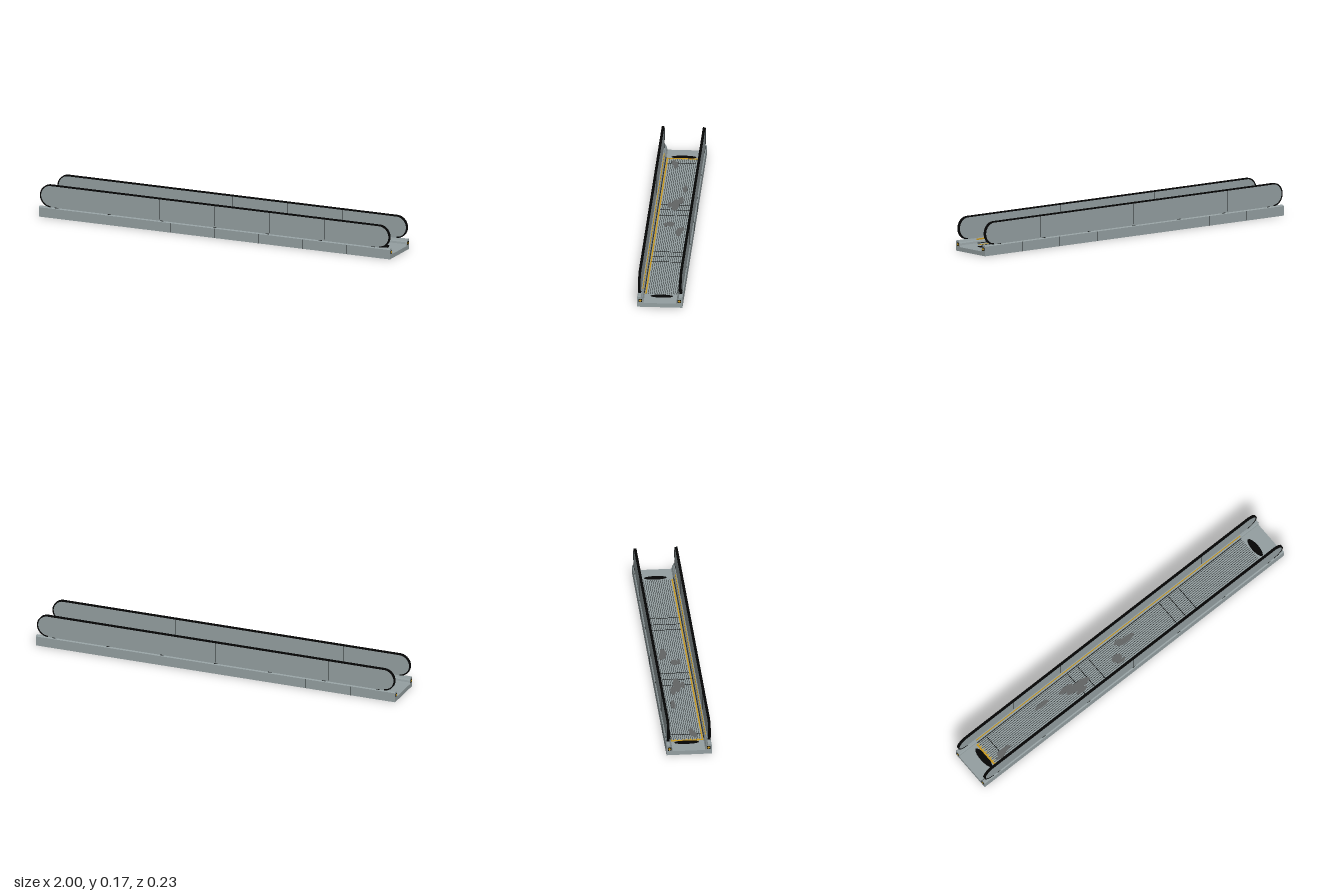
import * as THREE from 'three';

const mat = (name, color) => {
  const m = new THREE.MeshStandardMaterial({ color });
  m.name = name;
  return m;
};

export function createModel() {
  const root = new THREE.Group();
  const steel = mat('steel grey', 0x949fa1);
  const black = mat('rubber black', 0x040404);
  const yellow = mat('safety yellow', 0xc9981c);
  const dark = mat('groove grey', 0x222626);
  const stain = mat('stain grey', 0x626464);

  const add = (name, geo, material, x = 0, y = 0, z = 0) => {
    const m = new THREE.Mesh(geo, material);
    m.name = name;
    m.position.set(x, y, z);
    root.add(m);
    return m;
  };
  const box = (name, material, w, h, d, x, y, z) =>
    add(name, new THREE.BoxGeometry(w, h, d), material, x, y, z);

  // Long bed with raised kerbs: one cross-section swept along x
  const half = [[0.117, 0.012], [0.117, 0.05], [0.112, 0.055], [0.098, 0.055],
    [0.094, 0.046], [0.09, 0.04], [0.088, 0.03], [0.084, 0.022]];
  const section = new THREE.Shape([
    ...half.map(([z, y]) => new THREE.Vector2(z, y)),
    ...half.slice().reverse().map(([z, y]) => new THREE.Vector2(-z, y)),
  ]);
  const bedGeo = new THREE.ExtrudeGeometry(section, { depth: 1.996, bevelEnabled: false });
  bedGeo.translate(0, 0, -0.998).rotateY(Math.PI / 2);
  add('bed', bedGeo, steel);

  // Frame around the shallow recess in the underside
  const rect = (C, x, z) => new C([[-x, -z], [x, -z], [x, z], [-x, z]]
    .map(([a, b]) => new THREE.Vector2(a, b)));
  const frame = rect(THREE.Shape, 0.998, 0.117);
  frame.holes.push(rect(THREE.Path, 0.92, 0.09));
  const frameGeo = new THREE.ExtrudeGeometry(frame, { depth: 0.012, bevelEnabled: false });
  frameGeo.rotateX(-Math.PI / 2);
  add('undersideFrame', frameGeo, steel);

  // Ribbed tread surface and its cross joints
  for (let i = 0; i < 17; i++) {
    box('treadGroove', dark, 1.765, 0.0012, 0.002, -0.0025, 0.0223, -0.08 + i * 0.0098);
  }
  for (const x of [-0.82, -0.28, -0.215, -0.145, 0.33, 0.39, 0.46]) {
    box('treadJoint', black, 0.0028, 0.0016, 0.166, x, 0.0224, 0);
  }

  // Yellow edge line and toothed comb line
  box('edgeLine', yellow, 1.76, 0.002, 0.007, 0, 0.0226, 0.079);
  box('combLine', yellow, 0.009, 0.002, 0.166, -0.885, 0.0226, 0);
  for (let i = 0; i < 9; i++) {
    box('combTooth', yellow, 0.016, 0.002, 0.004, -0.878, 0.0226, -0.08 + i * 0.0196);
  }

  // Flat ovals lying on the deck: landing marks and worn patches
  const oval = (name, material, x, z, rx, rz, y) => {
    const m = add(name, new THREE.CylinderGeometry(1, 1, 0.001, 20), material, x, y, z);
    m.scale.set(rx, 1, rz);
  };
  oval('landingMark', black, -0.905, -0.005, 0.019, 0.064, 0.0225);
  oval('landingMark', black, 0.905, -0.005, 0.019, 0.058, 0.0225);
  const patches = [[-0.49, -0.038, 0.045, 0.012], [-0.34, -0.025, 0.045, 0.014],
    [-0.28, 0, 0.075, 0.02], [-0.28, 0.03, 0.035, 0.012], [-0.03, 0.01, 0.03, 0.02],
    [-0.02, 0.035, 0.028, 0.008], [0.07, -0.04, 0.055, 0.016], [0.03, -0.055, 0.025, 0.012],
    [-0.8, 0.03, 0.045, 0.013], [-0.83, 0.045, 0.03, 0.01]];
  for (const [x, z, rx, rz] of patches) oval('wornPatch', stain, x, z, rx, rz, 0.0232);

  // Handrail: open band over the top and around both ends
  const slab = (shape, depth) => new THREE.ExtrudeGeometry(shape,
    { depth, bevelEnabled: false, curveSegments: 20 }).translate(0, 0, -depth / 2);
  const q = Math.PI / 2;
  const ends = (s, r, forward) => {
    const arcs = [[0.934, -q, q], [-0.934, q, 3 * q]];
    if (forward) arcs.forEach(([x, a, b]) => s.absarc(x, 0, r, a, b, false));
    else arcs.reverse().forEach(([x, a, b]) => s.absarc(x, 0, r, b, a, true));
    return s;
  };
  const band = ends(ends(new THREE.Shape(), 0.06, true), 0.0535, false);
  const railGeo = slab(band, 0.013);

  // Panel: rounded ends, straight foot reaching into the kerb
  const panel = ends(new THREE.Shape(), 0.054, true);
  panel.lineTo(-0.934, -0.063);
  panel.lineTo(0.934, -0.063);
  const panelGeo = slab(panel, 0.01);

  for (const s of [1, -1]) {
    const zr = 0.106 * s;
    add('handrail', railGeo, black, 0, 0.115, zr);
    add('sidePanel', panelGeo, steel, 0, 0.115, zr);
    for (let i = -2; i <= 2; i++) {
      box('panelSeam', dark, 0.0012, 0.107, 0.0106, i * 0.3125, 0.115, zr);
    }

    // Kerb trim: yellow guide, dark skirt strip, seams and clips
    box('kerbGuide', yellow, 1.76, 0.007, 0.004, 0, 0.049, 0.0955 * s);
    box('skirtStrip', dark, 1.76, 0.004, 0.004, 0, 0.03, 0.0865 * s);
    for (let i = -3; i <= 3; i++) {
      box('kerbSeam', dark, 0.0012, 0.05, 0.001, i * 0.25, 0.025, 0.117 * s);
      box('kerbClip', dark, 0.02, 0.003, 0.003, i * 0.3, 0.055, 0.1118 * s);
    }

    // End sockets with round yellow lamps
    for (const e of [1, -1]) {
      box('endSocket', black, 0.002, 0.017, 0.017, 0.9982 * e, 0.035, 0.101 * s);
      const lamp = add('endLamp', new THREE.CylinderGeometry(0.0062, 0.0062, 0.0014, 16),
        yellow, 0.9993 * e, 0.035, 0.101 * s);
      lamp.rotation.z = Math.PI / 2;
    }
  }
  return root;
}
